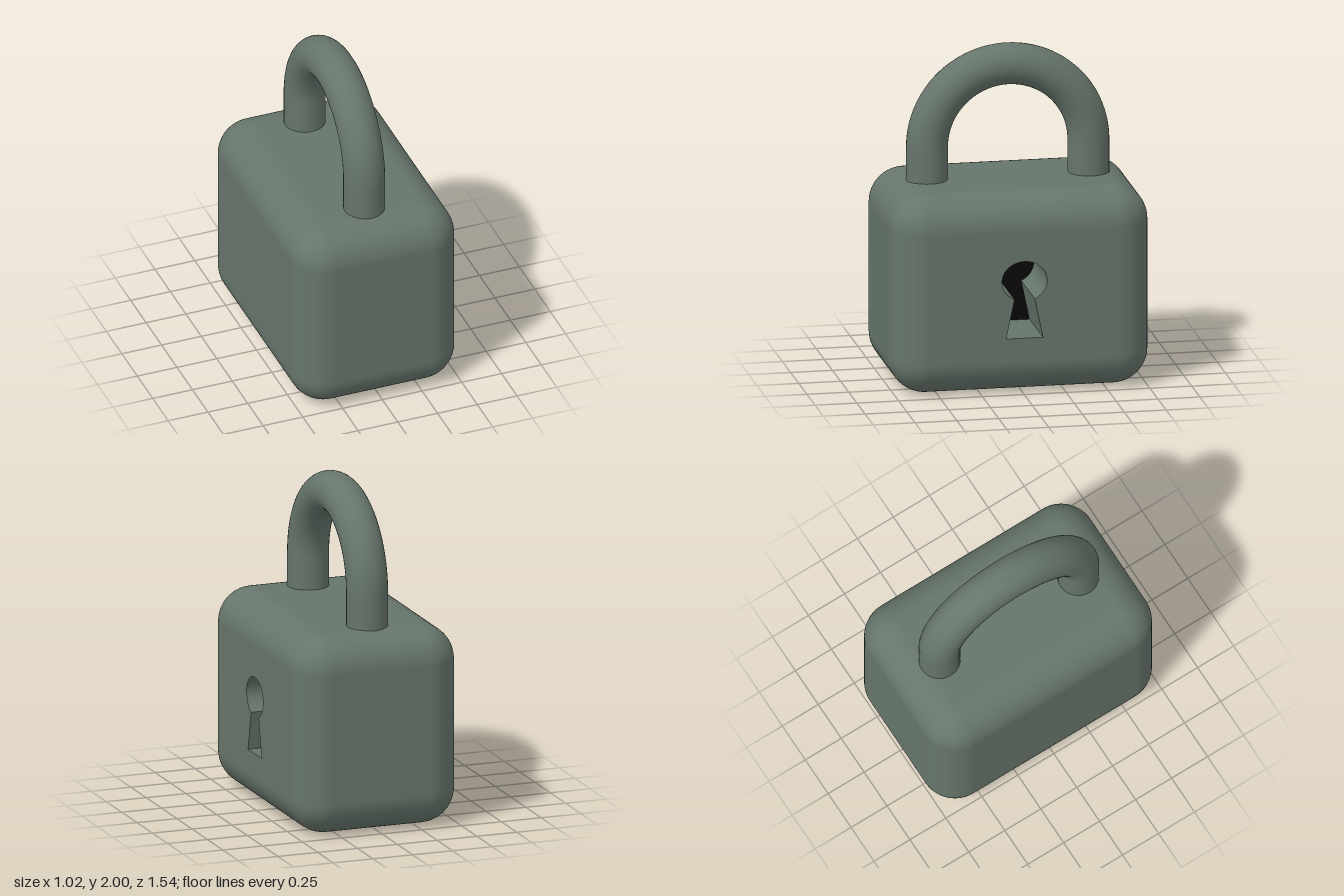
import * as THREE from 'three';
import { RoundedBoxGeometry } from 'three/addons/geometries/RoundedBoxGeometry.js';
import { toCreasedNormals } from 'three/addons/utils/BufferGeometryUtils.js';

const W = 1.02, H = 1.2, D = 1.54, R = 0.21; // body size and edge radius
const HOLE_DEPTH = 0.42;

// Keyhole outline: round top above a flared slot
function traceKeyhole(path) {
  const rx = 0.135, ry = 0.12, cy = 0.69, neck = 0.06;
  const a = Math.acos(neck / rx);
  path.moveTo(0.11, 0.345);
  path.lineTo(neck, cy - ry * Math.sin(a));
  path.absellipse(0, cy, rx, ry, -a, Math.PI + a, false);
  path.lineTo(-0.11, 0.345);
  path.closePath();
  return path;
}

// Rounded block with the flat part of its +x side left open
function openBody() {
  const box = new RoundedBoxGeometry(W, H, D, 8, R).toNonIndexed();
  const pos = box.attributes.position, nor = box.attributes.normal;
  const p = [], n = [];
  for (let i = 0; i < pos.count; i += 3) {
    const flat = [0, 1, 2].every(k => pos.getX(i + k) > W / 2 - 1e-4);
    if (flat) continue;
    for (let k = i; k < i + 3; k++) {
      p.push(pos.getX(k), pos.getY(k) + H / 2, pos.getZ(k));
      n.push(nor.getX(k), nor.getY(k), nor.getZ(k));
    }
  }
  const geo = new THREE.BufferGeometry();
  geo.setAttribute('position', new THREE.Float32BufferAttribute(p, 3));
  geo.setAttribute('normal', new THREE.Float32BufferAttribute(n, 3));
  return geo;
}

// Side panel that closes the opening, pierced by the keyhole
function keyholePanel() {
  const w = D / 2 - R;
  const shape = new THREE.Shape();
  shape.moveTo(-w, R).lineTo(w, R).lineTo(w, H - R).lineTo(-w, H - R).closePath();
  shape.holes.push(traceKeyhole(new THREE.Path()));
  const geo = new THREE.ExtrudeGeometry(shape, { depth: HOLE_DEPTH, bevelEnabled: false, curveSegments: 32 });
  geo.rotateY(Math.PI / 2).translate(W / 2 - HOLE_DEPTH, 0, 0);
  return toCreasedNormals(geo, 0.6);
}

// Dark end of the keyhole
function keyholeFloor() {
  const geo = new THREE.ShapeGeometry(traceKeyhole(new THREE.Shape()), 32);
  return geo.rotateY(Math.PI / 2).translate(W / 2 - HOLE_DEPTH + 0.005, 0, 0);
}

// Round bar: straight leg, half circle, straight leg
function shackleBar() {
  const x = -0.01, r = 0.482, cy = 1.395, foot = 1.1;
  const v = (y, z) => new THREE.Vector3(x, y, z);
  const path = new THREE.CurvePath();
  path.add(new THREE.LineCurve3(v(foot, r), v(cy, r)));
  const arc = new THREE.Curve();
  arc.getPoint = (t, target = new THREE.Vector3()) =>
    target.set(x, cy + r * Math.sin(t * Math.PI), r * Math.cos(t * Math.PI));
  path.add(arc);
  path.add(new THREE.LineCurve3(v(cy, -r), v(foot, -r)));
  return new THREE.TubeGeometry(path, 72, 0.123, 32, false);
}

export function createModel() {
  const metal = new THREE.MeshStandardMaterial({ color: 0x66756b });
  metal.name = 'grey green metal';
  const dark = new THREE.MeshStandardMaterial({ color: 0x0a0a0a });
  dark.name = 'keyhole black';

  const model = new THREE.Group();
  model.name = 'padlock';
  const add = (name, geometry, material) => {
    const mesh = new THREE.Mesh(geometry, material);
    mesh.name = name;
    model.add(mesh);
  };
  add('body', openBody(), metal);
  add('keyholePanel', keyholePanel(), metal);
  add('keyholeFloor', keyholeFloor(), dark);
  add('shackle', shackleBar(), metal);
  return model;
}
